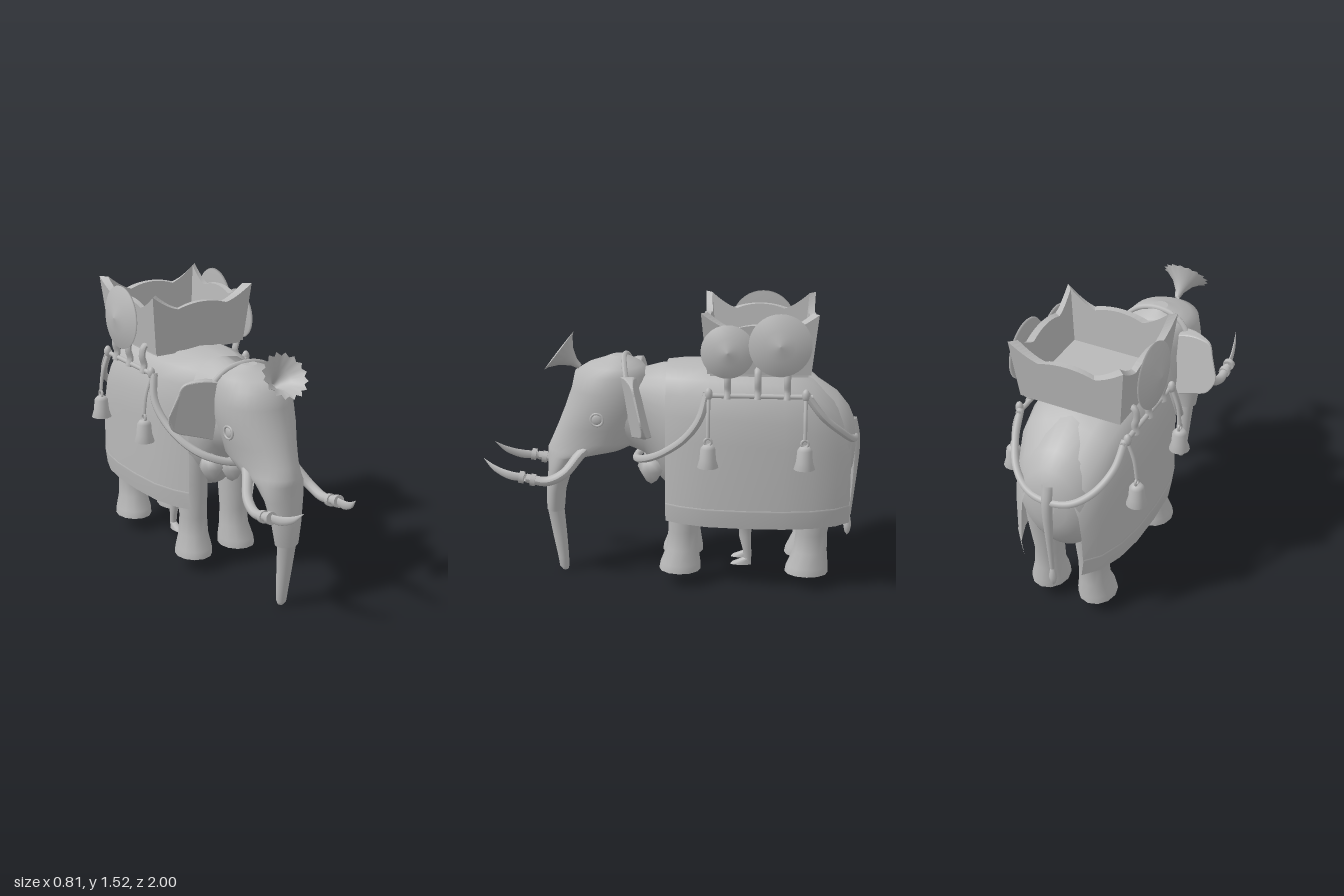
import * as THREE from 'three';

const V = (x, y, z) => new THREE.Vector3(x, y, z);
const grey = new THREE.MeshStandardMaterial({ color: 0xb8b8b8, side: THREE.DoubleSide });
grey.name = 'stone grey';

// Surface through rows of points; closed rows may be capped
function skin(rows, closed, caps) {
  const n = rows[0].length, pos = rows.flat().flatMap(p => [p.x, p.y, p.z]), idx = [];
  for (let i = 0; i < rows.length - 1; i++)
    for (let j = 0; j < (closed ? n : n - 1); j++) {
      const a = i * n + j, b = i * n + (j + 1) % n;
      idx.push(a, a + n, b, b, a + n, b + n);
    }
  if (caps) [rows[0], rows[rows.length - 1]].forEach((row, k) => {
    const start = pos.length / 3, c = row.reduce((s, p) => s.add(p), V(0, 0, 0)).divideScalar(n);
    [...row, c].forEach(p => pos.push(p.x, p.y, p.z));
    for (let j = 0; j < n; j++) {
      const a = start + j, b = start + (j + 1) % n;
      idx.push(start + n, k ? b : a, k ? a : b);
    }
  });
  const g = new THREE.BufferGeometry();
  g.setAttribute('position', new THREE.Float32BufferAttribute(pos, 3));
  g.setIndex(idx);
  g.computeVertexNormals();
  return g;
}

// Elliptical rings [y, zCentre, halfX, halfZ, xCentre] stacked upward
function loft(rings, sides = 24) {
  return skin(rings.map(([y, zc, hx, hz, xc = 0]) => Array.from({ length: sides }, (_, j) => {
    const a = j / sides * Math.PI * 2;
    return V(xc + Math.cos(a) * hx, y, zc + Math.sin(a) * hz);
  })), true, true);
}

// Tube whose radius follows a list of values along its length
function taper(points, radii, seg = 32, sides = 10) {
  const curve = new THREE.CatmullRomCurve3(points.map(p => V(...p)));
  const g = new THREE.TubeGeometry(curve, seg, 1, sides), p = g.attributes.position, v = V(0, 0, 0);
  for (let i = 0; i <= seg; i++) {
    const c = curve.getPointAt(i / seg), f = i / seg * (radii.length - 1);
    const k = Math.min(Math.floor(f), radii.length - 2);
    const r = THREE.MathUtils.lerp(radii[k], radii[k + 1], f - k);
    for (let j = 0; j <= sides; j++) {
      v.fromBufferAttribute(p, i * (sides + 1) + j).sub(c).multiplyScalar(r).add(c);
      p.setXYZ(i * (sides + 1) + j, v.x, v.y, v.z);
    }
  }
  g.computeVertexNormals();
  return g;
}

const lathe = (pts, n = 20) => new THREE.LatheGeometry(pts.map(p => new THREE.Vector2(...p)), n);

export function createModel() {
  const model = new THREE.Group();
  model.name = 'ceremonialElephant';
  const add = (name, geo, x = 0, y = 0, z = 0, parent = model) => {
    const m = new THREE.Mesh(geo, grey);
    m.name = name;
    m.position.set(x, y, z);
    parent.add(m);
    return m;
  };

  // Body, rings [z, -yCentre, halfX, halfY] laid along z
  add('body', loft([
    [-.982, -.78, .04, .06], [-.972, -.775, .1, .13], [-.945, -.765, .16, .205], [-.88, -.76, .22, .29],
    [-.75, -.77, .268, .367], [-.6, -.8, .285, .385], [-.4, -.81, .29, .39], [-.2, -.81, .275, .39],
    [-.05, -.83, .23, .365], [.05, -.87, .19, .32], [.14, -.93, .175, .235], [.25, -.95, .16, .21],
  ], 32).rotateX(Math.PI / 2));

  // Head and trunk
  add('headAndTrunk', loft([
    [0, .592, .016, .016], [.02, .597, .026, .026], [.08, .602, .032, .03], [.2, .617, .04, .038], [.35, .636, .05, .045],
    [.36, .637, .066, .048], [.47, .632, .085, .053], [.6, .605, .112, .066], [.68, .56, .132, .11],
    [.715, .465, .145, .205], [.77, .395, .157, .25], [.85, .37, .172, .24], [.95, .335, .198, .235],
    [1.05, .32, .2, .215], [1.14, .315, .19, .2], [1.18, .3, .155, .15], [1.205, .285, .11, .09], [1.23, .28, .04, .04],
  ], 32));

  // Cloth draped over the back, sections [z, halfWidth, topY]; its rear crown sinks into the rump
  const drape = [[.02, .21, 1.205], [-.06, .255, 1.21], [-.2, .297, 1.21], [-.4, .312, 1.205],
    [-.6, .31, 1.19], [-.75, .288, 1.135], [-.88, .24, 1.02], [-.955, .175, .88]];
  add('cloth', skin(drape.map(([z, w, t]) => {
    const half = [[.45, t - .015], [.75, t - .06], [.9, t - .14], [.97, t - .25], [1, t - .38], [1, .47]];
    return [...half.map(([k, y]) => V(-k * w, y, z)).reverse(), V(0, t, z), ...half.map(([k, y]) => V(k * w, y, z))];
  }), false));

  // Plume: jagged funnel on the forehead
  const plume = lathe([[.014, 0], [.025, .04], [.058, .09], [.106, .13], [.13, .14]], 32);
  const pp = plume.attributes.position;
  for (let i = 0; i < pp.count; i++)
    if (i % 5 === 4 && Math.floor(i / 5) % 2) pp.setXYZ(i, pp.getX(i) * .84, pp.getY(i), pp.getZ(i) * .84);
  plume.computeVertexNormals();
  add('plume', plume, 0, 1.16, .49).rotation.x = .91;

  // Headband, collar rope and rump rope, mirrored through x = 0
  const mirrorRope = (name, half, r) => {
    const pts = [...half, ...half.slice(0, -1).reverse().map(([x, y, z]) => [-x, y, z])];
    add(name, taper(pts, [r, r], 64, 8));
  };
  mirrorRope('headband', [[.185, .86, .15], [.205, .98, .18], [.19, 1.12, .22], [.12, 1.2, .24], [0, 1.228, .25]], .015);
  mirrorRope('collarRope', [[.29, 1.1, -.2], [.31, .97, -.165], [.29, .86, -.09], [.235, .76, .03], [.15, .7, .13], [0, .665, .19]], .021);
  mirrorRope('rumpRope', [[.29, 1.1, -.71], [.275, .98, -.8], [.215, .885, -.9], [.12, .825, -.96], [0, .81, -.98]], .02);

  // Pendants on the collar
  for (const [x, y, z] of [[-.12, .63, .1], [0, .61, .12], [.12, .63, .1]])
    add('collarPendant', lathe([[0, -.08], [.03, -.06], [.065, 0], [.05, .05], [0, .08]], 8), x, y, z);

  // Tail with tuft
  add('tail', taper([[0, .9, -.955], [0, .8, -.978], [0, .6, -.978], [0, .36, -.963]], [.035, .028, .018, .012]));
  add('tailTuft', lathe([[0, -.12], [.014, -.1], [.022, -.06], [.012, 0], [0, .01]], 10), 0, .36, -.958);

  const bell = lathe([[0, .12], [.024, .118], [.038, .1], [.043, .04], [.055, 0], [.045, 0], [.03, .07], [0, .09]]);
  for (const s of [1, -1]) {
    // Legs
    add('frontLeg', loft([[.08, -.055, .1, .112, .14 * s], [.12, -.058, .098, .108, .137 * s], [.2, -.068, .08, .086, .132 * s],
      [.3, -.072, .074, .08, .13 * s], [.5, -.08, .082, .092, .13 * s], [.7, -.09, .09, .11, .13 * s]], 12));
    add('backLeg', loft([[.08, -.737, .1, .117, .14 * s], [.12, -.74, .098, .112, .137 * s], [.2, -.755, .08, .09, .132 * s],
      [.3, -.76, .078, .084, .13 * s], [.5, -.77, .095, .11, .135 * s], [.75, -.77, .11, .14, .14 * s]], 12));

    // Attendant's legs beneath the belly
    const x = .055 * s;
    add('attendantLeg', loft([[.1, -.42, .018, .02, x], [.16, -.415, .02, .022, x], [.24, -.405, .03, .034, x],
      [.3, -.4, .028, .032, x], [.305, -.4, .044, .052, x], [.36, -.405, .048, .058, x], [.5, -.4, .05, .06, x]], 10));
    add('attendantFoot', loft([[.078, -.383, .024, .06, x], [.092, -.39, .022, .052, x], [.115, -.418, .018, .022, x]], 10));

    // Ear: wedge, thick at the head and thin at its swept outer edge
    const ear = new THREE.Shape();
    ear.moveTo(.16, 1.14);
    ear.quadraticCurveTo(.23, 1.165, .31, 1.145);
    ear.quadraticCurveTo(.345, 1.14, .35, 1.09);
    ear.lineTo(.39, .97);
    ear.quadraticCurveTo(.395, .94, .365, .895);
    ear.quadraticCurveTo(.35, .87, .3, .86);
    ear.lineTo(.17, .825);
    const earGeo = new THREE.ExtrudeGeometry(ear, { depth: .6, bevelEnabled: true, bevelThickness: .2, bevelSize: .006, bevelSegments: 2, curveSegments: 6 });
    const ep = earGeo.attributes.position;
    for (let i = 0; i < ep.count; i++) {
      const ex = ep.getX(i), ey = ep.getY(i);
      const back = .125 + .25 * (ey - .95), front = .25 + .18 * (ey - 1.15) - .4 * (ex - .19);
      ep.setZ(i, THREE.MathUtils.lerp(back, Math.max(front, back + .012), ep.getZ(i) + .2));
    }
    earGeo.computeVertexNormals();
    add('ear', earGeo).scale.x = s;

    // Eye
    add('eyeRim', new THREE.TorusGeometry(.033, .007, 8, 24).rotateY(Math.PI / 2 - .12 * s), .191 * s, .92, .38);
    add('eyeball', new THREE.SphereGeometry(.03, 16, 12).scale(.4, 1, 1), .187 * s, .92, .38);

    // Tusk with rings and a flat blade tip
    add('tusk', taper([[.11 * s, .76, .42], [.14 * s, .71, .48], [.19 * s, .62, .56], [.207 * s, .58, .65], [.205 * s, .595, .76]], [.028, .029, .027, .026, .024]));
    for (const [y, z] of [[.586, .725], [.6, .785]])
      add('tuskRing', new THREE.CylinderGeometry(.033, .033, .026, 12).rotateX(1.4), .205 * s, y, z);
    add('tuskBlade', taper([[.125 * s, .597, .765], [.095 * s, .605, .85], [.05 * s, .635, .93], [0, .685, .995]],
      [.022, .024, .017, .001], 20, 8), .155 * s).scale.x = .4;

    // Rail with straps up to the seat
    add('sideRail', new THREE.CylinderGeometry(.013, .013, .56, 10).rotateX(Math.PI / 2), .29 * s, 1.09, -.46);
    for (const z of [-.305, -.46, -.61])
      add('strap', taper([[.25 * s, 1.22, z], [.285 * s, 1.225, z], [.302 * s, 1.17, z], [.29 * s, 1.12, z], [.304 * s, 1.075, z]], [.018, .018], 16, 6));

    // Bells on cords
    for (const z of [-.21, -.705]) {
      add('bellKnot', new THREE.SphereGeometry(.026, 12, 8).scale(.8, 1.3, .8), .3 * s, 1.1, z);
      add('bellCord', taper([[.3 * s, 1.09, z], [.335 * s, .99, z], [.35 * s, .88, z]], [.01, .01], 12, 8));
      add('bellLoop', new THREE.TorusGeometry(.018, .007, 6, 16).rotateY(Math.PI / 2), .35 * s, .86, z);
      add('bell', bell, .35 * s, .726, z);
      add('bellClapper', new THREE.SphereGeometry(.017, 10, 8), .35 * s, .73, z);
    }

    // Hem band along the cloth, tucked in at the bottom
    add('clothHem', skin(drape.map(([z, w]) => [V(w * s, .475, z), V((w + .003) * s, .466, z), V((w - .01) * s, .372, z)]), false));
  }

  // Seat box: four flared, mitred walls with scalloped tops
  const seat = new THREE.Group();
  seat.name = 'seatBox';
  seat.position.set(0, 1.2, -.465);
  model.add(seat);
  const wall = half => {
    const sh = new THREE.Shape();
    sh.moveTo(-half, 0);
    sh.lineTo(half, 0);
    sh.lineTo(half, .32);
    sh.quadraticCurveTo(half * .72, .25, half * .5, .235);
    sh.quadraticCurveTo(0, .285, -half * .5, .235);
    sh.quadraticCurveTo(-half * .72, .25, -half, .32);
    return new THREE.ExtrudeGeometry(sh, { depth: .035, bevelEnabled: false, curveSegments: 10 });
  };
  for (let k = 0; k < 4; k++) {
    const [half, dist] = k % 2 ? [.297, .308] : [.308, .297];
    const g = wall(half).translate(0, 0, dist - .035), p = g.attributes.position;
    for (let i = 0; i < p.count; i++) {
      const f = .89 + .11 * p.getY(i) / .32, z = p.getZ(i);
      p.setX(i, p.getX(i) * f * z / dist);
      p.setZ(i, z * f);
    }
    g.rotateY(k * Math.PI / 2).computeVertexNormals();
    add('seatWall', g, 0, 0, 0, seat);
  }
  add('seatFloor', new THREE.BoxGeometry(.52, .05, .5), 0, .01, 0, seat);

  // Round shields hung on the sides [side, x, y, z, radius]
  for (const [s, x, y, z, r] of [[1, .315, 1.325, -.305, .137], [1, .33, 1.365, -.57, .16], [-1, .335, 1.35, -.48, .172]])
    add('shield', lathe([[0, -.012], [r - .004, -.012], [r, 0], [r * .5, .022], [0, .04]], 40), s * x, y, z)
      .rotation.z = -s * (Math.PI / 2 - .04);

  return model;
}
